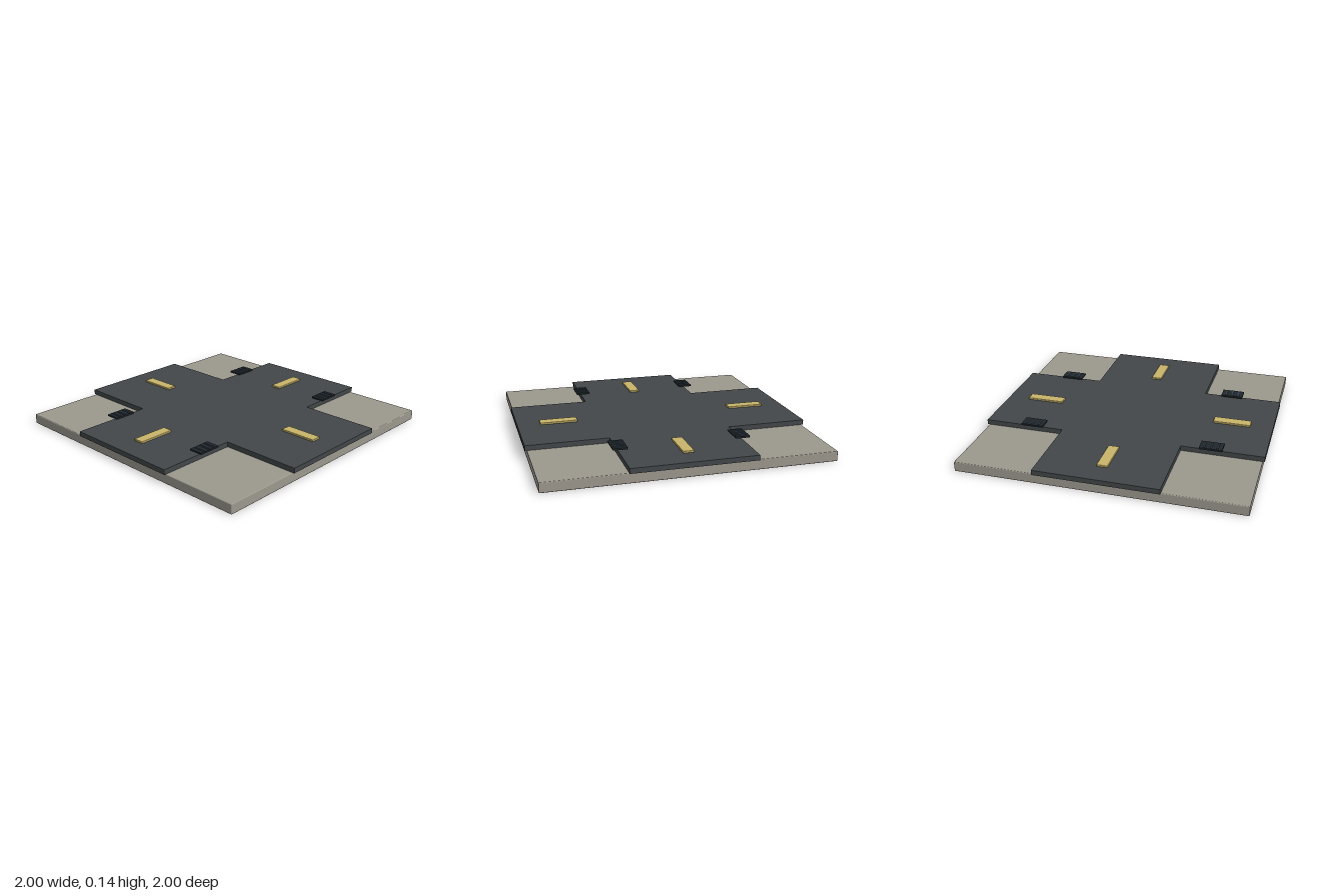
import * as THREE from 'three';
import { RoundedBoxGeometry } from 'three/addons/geometries/RoundedBoxGeometry.js';

const paint = (color) => new THREE.MeshStandardMaterial({ color });

export function createModel() {
  const model = new THREE.Group();
  model.name = 'crossroadTile';
  const concrete = paint(0x9c988e);
  const asphalt = paint(0x424749);
  const yellow = paint(0xc8b46a);
  const iron = paint(0x20262a);
  const steel = paint(0x34495a);

  const add = (parent, name, geometry, material, x, y, z) => {
    const mesh = new THREE.Mesh(geometry, material);
    mesh.name = name;
    mesh.position.set(x, y, z);
    parent.add(mesh);
    return mesh;
  };

  // Ground slab with slightly eased edges
  add(model, 'groundSlab', new RoundedBoxGeometry(1.972, 0.07, 1.972, 2, 0.006), concrete, 0, 0.035, 0);

  // Cross-shaped road surface, overhanging the slab a little at each end
  const w = 0.428;
  const outline = [[w, 1], [-w, 1], [-w, w], [-1, w], [-1, -w], [-w, -w],
    [-w, -1], [w, -1], [w, -w], [1, -w], [1, w], [w, w]];
  const cross = new THREE.Shape(outline.map(([x, y]) => new THREE.Vector2(x, y)));
  const roadGeometry = new THREE.ExtrudeGeometry(cross, { depth: 0.035, bevelEnabled: false });
  roadGeometry.rotateX(-Math.PI / 2);
  add(model, 'roadSurface', roadGeometry, asphalt, 0, 0.07, 0);

  // One lane dash on each arm
  const dashGeometry = new RoundedBoxGeometry(0.267, 0.015, 0.076, 2, 0.004);
  for (let i = 0; i < 4; i++) {
    const angle = (i * Math.PI) / 2;
    const dash = add(model, 'laneDash', dashGeometry, yellow,
      0.708 * Math.cos(angle), 0.1125, 0.708 * Math.sin(angle));
    dash.rotation.y = angle;
  }

  // Drain grates along the kerbs of the left and right arms
  const plateGeometry = new THREE.BoxGeometry(0.158, 0.012, 0.1);
  const barGeometry = new THREE.BoxGeometry(0.01, 0.01, 0.082);
  for (const sx of [-1, 1]) {
    for (const sz of [-1, 1]) {
      const drain = new THREE.Group();
      drain.name = 'drainGrate';
      drain.position.set(0.639 * sx, 0.129, 0.42 * sz);
      add(drain, 'gratePlate', plateGeometry, iron, 0, 0, 0);
      for (const i of [-1, 0, 1]) add(drain, 'grateBar', barGeometry, steel, i * 0.045, 0.006, 0);
      model.add(drain);
    }
  }
  return model;
}
